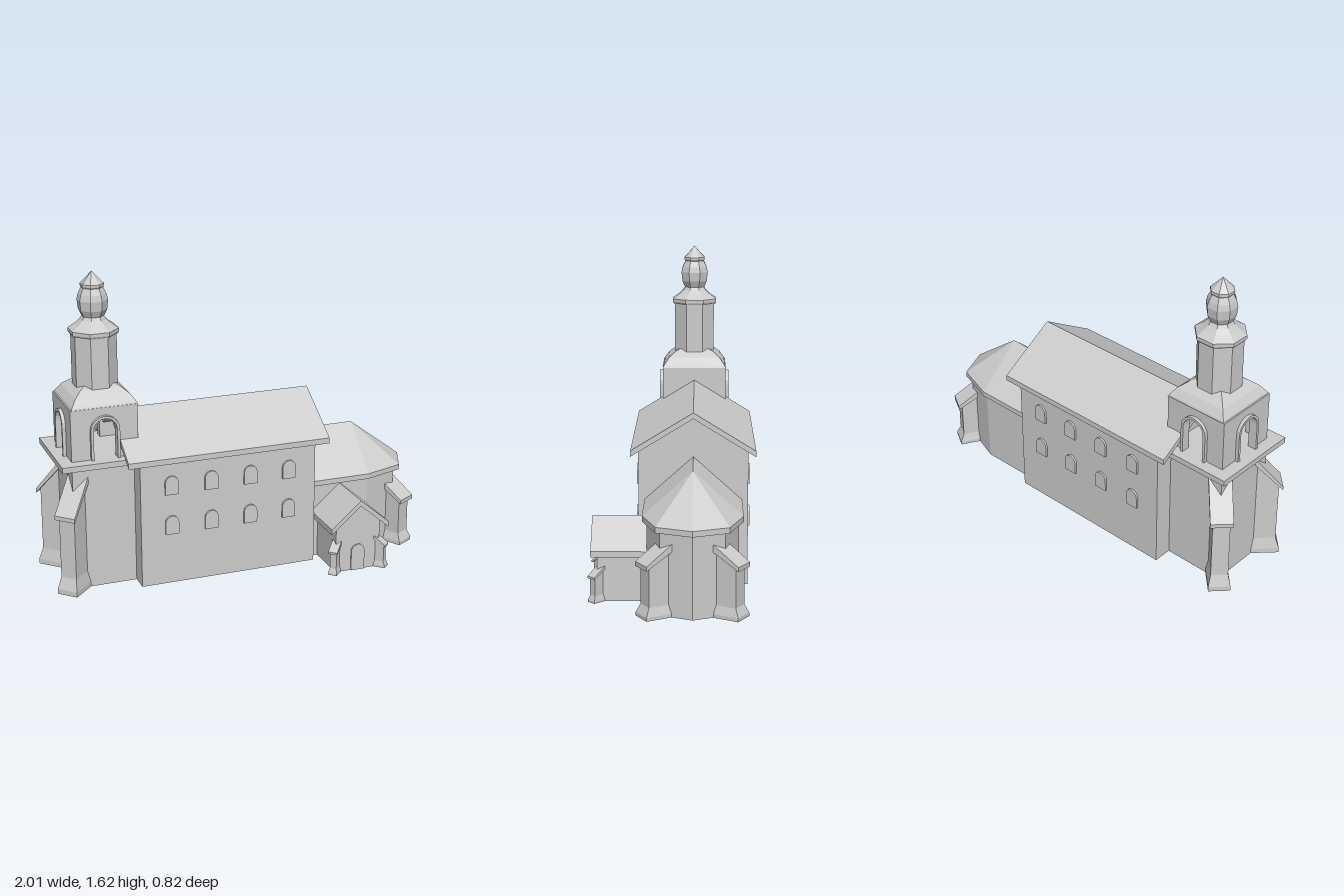
import * as THREE from 'three';
import { ConvexGeometry } from 'three/addons/geometries/ConvexGeometry.js';

const AXIS = -0.1;     // z of the church's long axis
const TOWER_X = -0.73; // x of the tower's centre

export function createModel() {
  const model = new THREE.Group();
  model.name = 'church';
  const material = new THREE.MeshStandardMaterial({ color: 0xcccccc, flatShading: true });

  const add = (name, geometry, x = 0, y = 0, z = 0, rotY = 0, parent = model) => {
    const mesh = new THREE.Mesh(geometry, material);
    mesh.name = name;
    mesh.position.set(x, y, z);
    mesh.rotation.y = rotY;
    parent.add(mesh);
    return mesh;
  };
  const polygon = (pts) => new THREE.Shape(pts.map(([x, y]) => new THREE.Vector2(x, y)));
  const extrude = (shape, depth) =>
    new THREE.ExtrudeGeometry(shape, { depth, bevelEnabled: false, curveSegments: 6 });

  // Points of a round arch, from bottom right over the top to bottom left
  const archPoints = (half, bottom, top, steps = 10) => {
    const pts = [[half, bottom]];
    for (let i = 0; i <= steps; i++) {
      const a = (Math.PI * i) / steps;
      pts.push([half * Math.cos(a), top - half + half * Math.sin(a)]);
    }
    pts.push([-half, bottom]);
    return pts;
  };

  // Gabled cross-section of walls, and the bent slab of a gabled roof
  const gableWall = (half, eave, ridge) =>
    polygon([[-half, 0], [half, 0], [half, eave], [0, ridge], [-half, eave]]);
  const gableRoof = (half, eave, ridge, t) =>
    polygon([[-half, eave - t], [0, ridge - t], [half, eave - t], [half, eave], [0, ridge], [-half, eave]]);

  // Nave
  const half = Math.PI / 2;
  add('naveWalls', extrude(gableWall(0.275, 0.695, 0.865), 0.96), -0.58, 0, AXIS, half);
  add('naveRoof', extrude(gableRoof(0.312, 0.7, 0.892, 0.03), 1.095), -0.65, 0, AXIS, half);

  // Arched windows, two rows on both long sides
  const windowGeometry = extrude(polygon(archPoints(0.036, 0, 0.1)), 0.03);
  for (const x of [-0.415, -0.2, 0.015, 0.23]) {
    for (const y of [0.275, 0.493]) {
      add('naveWindow', windowGeometry, x, y, AXIS + 0.256);
      add('naveWindow', windowGeometry, x, y, AXIS - 0.256, Math.PI);
    }
  }

  // Chancel with a polygonal apse
  const chancelPlan = (side, cornerX, cornerZ, tip) => [
    [0.37, -side], [0.71, -side], [cornerX, -cornerZ], [tip, 0],
    [cornerX, cornerZ], [0.71, side], [0.37, side],
  ];
  const chancelWalls = extrude(polygon(chancelPlan(0.222, 0.9, 0.155, 0.97)), 0.42);
  chancelWalls.rotateX(-half);
  add('chancelWalls', chancelWalls, 0, 0, AXIS);
  const eaves = chancelPlan(0.245, 0.925, 0.175, 1.0);
  const roofPoints = [0.41, 0.438].flatMap((y) => eaves.map(([x, z]) => new THREE.Vector3(x, y, z)));
  roofPoints.push(new THREE.Vector3(0.37, 0.658, 0), new THREE.Vector3(0.71, 0.658, 0));
  add('chancelRoof', new ConvexGeometry(roofPoints), 0, 0, AXIS);

  // Buttress: shaft, flared foot and sloping cap, pointing outwards from a wall corner
  const buttress = (name, x, z, angle, { reach, width, low, slope, foot, inner, lip }) => {
    const group = new THREE.Group();
    group.name = name;
    group.position.set(x, 0, z);
    group.rotation.y = -angle;
    model.add(group);
    const slice = (part, pts, w) => add(part, extrude(polygon(pts), w), 0, 0, -w / 2, 0, group);
    const out = reach + lip;
    const top = (r) => low + slope * (out - r);
    const t = lip * 1.1;
    slice('buttressShaft', [[-inner, 0], [reach, 0], [reach, top(reach) - t / 2], [-inner, top(-inner) - t / 2]], width);
    slice('buttressCap', [[-inner, top(-inner) - t * 1.8], [out, low - t], [out, low], [-inner, top(-inner)]], width + lip * 1.4);
    // Foot tapers up from a wide plinth to the shaft
    const w0 = width / 2 + lip * 0.6, w1 = width / 2;
    const footPoints = [[0, out, w0], [foot * 0.3, out, w0], [foot, reach, w1]].flatMap(([y, r, w]) =>
      [-1, 1].flatMap((s) => [new THREE.Vector3(-inner, y, s * w), new THREE.Vector3(r, y, s * w)]));
    add('buttressFoot', new ConvexGeometry(footPoints), 0, 0, 0, 0, group);
  };
  const towerSpec = { reach: 0.07, width: 0.088, low: 0.43, slope: 1.2, foot: 0.09, inner: 0.08, lip: 0.02 };
  const apseSpec = { reach: 0.08, width: 0.085, low: 0.265, slope: 0.67, foot: 0.06, inner: 0.06, lip: 0.02 };
  const porchSpec = { reach: 0.037, width: 0.036, low: 0.13, slope: 0.7, foot: 0.035, inner: 0.03, lip: 0.01 };
  for (const s of [-1, 1]) {
    buttress('towerButtress', TOWER_X - 0.175, AXIS + s * 0.175, s * Math.PI * 0.75, towerSpec);
    buttress('apseButtress', 0.895, AXIS + s * 0.155, s * Math.PI / 3, apseSpec);
    buttress('porchButtress', 0.55 + s * 0.123, 0.36, half - s * Math.PI / 4, porchSpec);
  }

  // Porch on the front of the chancel
  add('porchWalls', extrude(gableWall(0.125, 0.265, 0.375), 0.27), 0.55, 0, 0.095);
  add('porchRoof', extrude(gableRoof(0.163, 0.26, 0.4, 0.03), 0.3), 0.55, 0, 0.095);
  add('porchDoor', extrude(polygon(archPoints(0.038, 0, 0.145)), 0.015), 0.55, 0, 0.357);

  // Tower base and ledge
  add('towerBase', new THREE.BoxGeometry(0.35, 0.67, 0.35), TOWER_X, 0.335, AXIS);
  add('towerLedge', new THREE.BoxGeometry(0.48, 0.03, 0.48), TOWER_X, 0.68, AXIS);

  // Belfry: three walls with framed arched openings and a plain one facing the nave
  const outer = archPoints(0.076, 0.695, 0.925);
  const opening = archPoints(0.062, 0.695, 0.911);
  const openWall = extrude(polygon([[-0.175, 0.695], ...[...opening].reverse(), [0.175, 0.695], [0.175, 0.965], [-0.175, 0.965]]), 0.03);
  const frame = extrude(polygon([...outer, ...[...opening].reverse()]), 0.03);
  for (const angle of [0, Math.PI, -half]) {
    const side = new THREE.Group();
    side.name = 'belfrySide';
    side.position.set(TOWER_X, 0, AXIS);
    side.rotation.y = angle;
    model.add(side);
    add('belfryWall', openWall, 0, 0, 0.145, 0, side);
    add('belfryArchFrame', frame, 0, 0, 0.163, 0, side);
  }
  add('belfryNaveWall', new THREE.BoxGeometry(0.03, 0.27, 0.35), TOWER_X + 0.16, 0.83, AXIS);

  // Faceted turned shape; profile gives distance to the flat faces and height
  const turned = (name, sides, profile) => {
    const k = 1 / Math.cos(Math.PI / sides);
    const pts = profile.map(([r, y]) => new THREE.Vector2(r * k, y));
    add(name, new THREE.LatheGeometry(pts, sides, Math.PI / sides), TOWER_X + 0.005, 0, AXIS);
  };
  turned('belfryRoof', 4, [[0, 0.96], [0.175, 0.96], [0.168, 0.975], [0.142, 1.012], [0.105, 1.043], [0.08, 1.055], [0, 1.055]]);
  turned('octagonStage', 8, [[0.108, 1.03], [0.108, 1.31]]);
  turned('octagonRoof', 8, [[0, 1.305], [0.115, 1.305], [0.12, 1.315], [0.12, 1.332], [0.085, 1.358], [0.062, 1.38], [0.05, 1.4], [0, 1.4]]);
  turned('lantern', 8, [[0.05, 1.39], [0.068, 1.43], [0.073, 1.48], [0.066, 1.51], [0.05, 1.545]]);
  turned('spireCap', 8, [[0, 1.54], [0.05, 1.54], [0.056, 1.55], [0.056, 1.562], [0.03, 1.59], [0, 1.625]]);

  return model;
}
